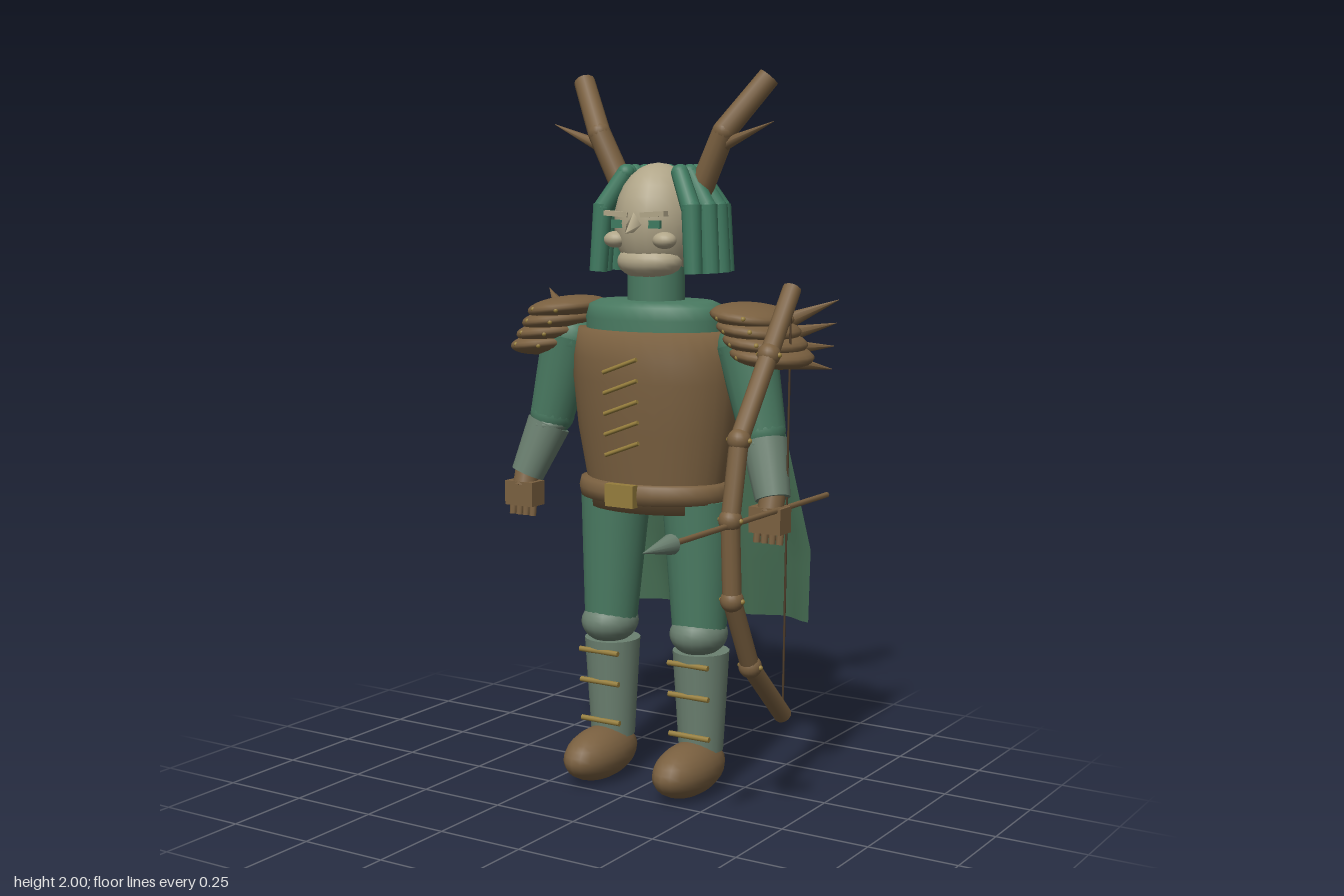
import * as THREE from 'three';

export function createModel() {
  const mat = (name, color, side = THREE.FrontSide) => {
    const m = new THREE.MeshStandardMaterial({ color, side });
    m.name = name;
    return m;
  };
  const green = mat('green cloth', 0x4a7b62);
  const hairGreen = mat('hair green', 0x3f7a60);
  const cloakGreen = mat('cloak green', 0x4b7559, THREE.DoubleSide);
  const brown = mat('brown leather', 0x7a6040);
  const grey = mat('grey green armour', 0x6b8070);
  const skin = mat('skin', 0xb0a588);
  const gold = mat('dull gold', 0x957d3c);
  const dark = mat('dark cord', 0x4f3d2a);

  const model = new THREE.Group();
  const V = (x, y, z) => new THREE.Vector3(x, y, z);
  const Z = -0.17; // body axis

  function add(name, geo, material, x = 0, y = 0, z = 0) {
    const m = new THREE.Mesh(geo, material);
    m.name = name;
    m.position.set(x, y, z);
    model.add(m);
    return m;
  }
  // tapered cylinder running from point a to point b
  function limb(name, material, a, b, ra, rb, sides = 16) {
    const d = b.clone().sub(a);
    const m = add(name, new THREE.CylinderGeometry(rb, ra, d.length(), sides), material);
    m.position.copy(a).addScaledVector(d, 0.5);
    m.quaternion.setFromUnitVectors(V(0, 1, 0), d.normalize());
    return m;
  }
  function ball(name, material, x, y, z, rx, ry = rx, rz = rx) {
    const m = add(name, new THREE.SphereGeometry(1, 20, 14), material, x, y, z);
    m.scale.set(rx, ry, rz);
    return m;
  }
  const box = (name, material, x, y, z, w, h, d) =>
    add(name, new THREE.BoxGeometry(w, h, d), material, x, y, z);
  function lathe(name, material, profile, depth) {
    const pts = profile.map(([r, y]) => new THREE.Vector2(r, y));
    const m = add(name, new THREE.LatheGeometry(pts, 32), material, 0, 0, Z);
    m.scale.z = depth;
    return m;
  }

  // torso, shirt, belt
  lathe('chestArmour', brown, [[0, 0.8], [0.2, 0.8], [0.208, 0.88], [0.235, 1.02],
    [0.25, 1.16], [0.248, 1.22], [0.234, 1.3], [0, 1.3]], 0.7);
  lathe('shirt', green, [[0.205, 1.2], [0.21, 1.33], [0.2, 1.365], [0.17, 1.378], [0, 1.38]], 0.72);
  lathe('belt', brown, [[0.2, 0.826], [0.222, 0.83], [0.228, 0.855], [0.222, 0.88], [0.2, 0.884]], 0.78);
  box('beltBuckle', gold, 0, 0.855, 0.01, 0.09, 0.062, 0.025);
  for (let i = 0; i < 5; i++) {
    const y = 1.21 - i * 0.057;
    const z = 0.018 - i * 0.003;
    limb('chestLace', gold, V(-0.053, y - 0.02, z), V(0.053, y + 0.02, z), 0.006, 0.006, 8);
  }
  add('neck', new THREE.CylinderGeometry(0.08, 0.08, 0.14, 20), green, 0, 1.42, Z);

  // head and face
  ball('head', skin, 0, 1.59, -0.18, 0.118, 0.163, 0.13);
  ball('jaw', skin, 0, 1.485, -0.135, 0.095, 0.05, 0.075);
  limb('nose', skin, V(0, 1.595, -0.07), V(0, 1.565, -0.012), 0.032, 0.001, 4);
  for (const s of [-1, 1]) {
    ball('cheek', skin, s * 0.078, 1.545, -0.085, 0.034, 0.023, 0.03);
    box('eye', hairGreen, s * 0.056, 1.588, -0.066, 0.042, 0.022, 0.012);
    const brow = box('eyebrow', skin, s * 0.058, 1.615, -0.063, 0.075, 0.014, 0.024);
    brow.rotation.z = s * 0.06;
  }

  // hair locks fanned around the sides and back
  for (let k = -6; k <= 6; k++) {
    const a = (k * 20 * Math.PI) / 180;
    const p = (r, y) => V(r * Math.sin(a), y, -0.2 - r * Math.cos(a));
    limb('hairLockTop', hairGreen, p(0.1, 1.725), p(0.162, 1.63), 0.024, 0.027, 12);
    ball('hairLockRoot', hairGreen, ...p(0.1, 1.725).toArray(), 0.024);
    ball('hairLockBend', hairGreen, ...p(0.162, 1.63).toArray(), 0.027);
    limb('hairLockEnd', hairGreen, p(0.163, 1.64), p(0.176, 1.455), 0.027, 0.025, 12);
  }

  for (const s of [-1, 1]) {
    const P = (x, y, z) => V(s * x, y, z);

    // antlers
    limb('antlerBase', brown, P(0.11, 1.65, -0.2), P(0.2, 1.835, -0.19), 0.034, 0.032, 12);
    ball('antlerBend', brown, s * 0.2, 1.835, -0.19, 0.032);
    limb('antlerTip', brown, P(0.2, 1.835, -0.19), P(0.297, 1.98, -0.262), 0.032, 0.03, 12);
    limb('antlerSpike', brown, P(0.2, 1.8, -0.19), P(0.35, 1.86, -0.19), 0.018, 0.001, 8);

    // layered shoulder armour with rivets and back spikes
    for (let i = 0; i < 4; i++) {
      const x = 0.298 + 0.02 * i;
      const y = 1.345 - 0.034 * i;
      const plate = ball('shoulderPlate', brown, s * x, y, -0.18, 0.108, 0.034, 0.138);
      plate.rotation.z = -s * 0.12;
      for (let j = -1; j <= 1; j++) {
        ball('shoulderRivet', gold, s * (x + j * 0.038), y, -0.05 - Math.abs(j) * 0.008, 0.007);
      }
      limb('shoulderSpike', brown, P(0.36, y - 0.02, -0.24),
        P(0.475 - 0.006 * i, 1.385 - 0.063 * i, -0.34), 0.025, 0.001, 8);
    }

    // arm
    ball('shoulder', green, s * 0.285, 1.26, Z, 0.08);
    limb('upperArm', green, P(0.285, 1.27, Z), P(0.342, 1.04, -0.16), 0.082, 0.064);
    ball('elbow', green, s * 0.342, 1.04, -0.16, 0.064);
    limb('bracer', grey, P(0.352, 1.01, -0.155), P(0.4, 0.865, -0.115), 0.063, 0.048);
    ball('bracerTop', grey, s * 0.352, 1.01, -0.155, 0.063, 0.03, 0.063);
    box('hand', brown, s * 0.4, 0.812, -0.1, 0.095, 0.07, 0.062);
    limb('wrist', brown, P(0.4, 0.88, -0.115), P(0.4, 0.83, -0.1), 0.035, 0.035);
    for (let f = 0; f < 4; f++) {
      const x = 0.366 + f * 0.023;
      limb('finger', brown, P(x, 0.79, -0.095), P(x, 0.748, -0.09), 0.011, 0.01, 8);
    }

    // leg
    limb('thigh', green, P(0.135, 0.83, -0.175), P(0.147, 0.44, -0.165), 0.1, 0.074, 20);
    ball('kneeGuard', grey, s * 0.147, 0.455, -0.162, 0.08, 0.062, 0.088);
    limb('greave', grey, P(0.147, 0.12, -0.178), P(0.147, 0.405, -0.175), 0.063, 0.08, 20);
    [0.375, 0.285, 0.17].forEach((y) => {
      const z = -0.112 + 0.045 * (y - 0.17);
      limb('greaveStrap', gold, P(0.083, y, z), P(0.211, y, z), 0.008, 0.008, 8);
    });
    ball('boot', brown, s * 0.147, 0.078, -0.112, 0.078, 0.075, 0.153);
  }

  // cloak: sheet widened downwards, sloped back and rippled
  const cloakGeo = new THREE.PlaneGeometry(2, 1, 32, 16);
  const pos = cloakGeo.attributes.position;
  for (let i = 0; i < pos.count; i++) {
    const u = pos.getX(i);
    const t = 0.5 - pos.getY(i);
    const half = t < 0.75 ? 0.24 + 0.12 * t : 0.33 - 0.12 * (t - 0.75);
    const ripple = 0.02 * t * Math.cos(u * Math.PI * 3);
    pos.setXYZ(i, u * half, 1.335 - 0.905 * t, -0.33 - 0.22 * t - ripple);
  }
  cloakGeo.computeVertexNormals();
  add('cloak', cloakGeo, cloakGreen);

  // quiver and its arrows
  limb('quiver', brown, V(-0.15, 0.83, -0.415), V(-0.215, 1.31, -0.497), 0.07, 0.095, 20);
  for (let i = 0; i < 5; i++) {
    const x = -0.295 + i * 0.0305;
    limb('quiverArrow', dark, V(x, 1.25, -0.5), V(x, 1.515, -0.528), 0.004, 0.004, 6);
    box('fletching', hairGreen, x, 1.445, -0.526, 0.02, 0.075, 0.006);
    box('fletching', hairGreen, x, 1.445, -0.526, 0.006, 0.075, 0.028);
  }

  // bow built from straight lengths with knots and gold bindings
  const bx = 0.432;
  const bow = [[1.425, -0.15], [1.26, -0.025], [1.055, 0.13], [0.855, 0.172],
    [0.645, 0.16], [0.45, 0.06], [0.275, -0.125]].map(([y, z]) => V(bx, y, z));
  for (let i = 0; i < 6; i++) {
    limb('bowLimb', brown, bow[i], bow[i + 1], 0.025, 0.025, 12);
    if (i === 0) continue;
    ball('bowKnot', brown, ...bow[i].toArray(), 0.031);
    for (const s of [-1, 1]) ball('bowBinding', gold, bx + s * 0.03, bow[i].y, bow[i].z, 0.007);
  }
  limb('bowString', dark, V(bx, 1.42, -0.145), V(bx, 0.28, -0.125), 0.003, 0.003, 6);

  // nocked arrow
  limb('arrowShaft', brown, V(bx, 0.842, -0.372), V(bx, 0.842, 0.47), 0.008, 0.008, 8);
  limb('arrowHead', grey, V(bx, 0.842, 0.462), V(bx, 0.842, 0.59), 0.026, 0.001, 12);

  return model;
}
